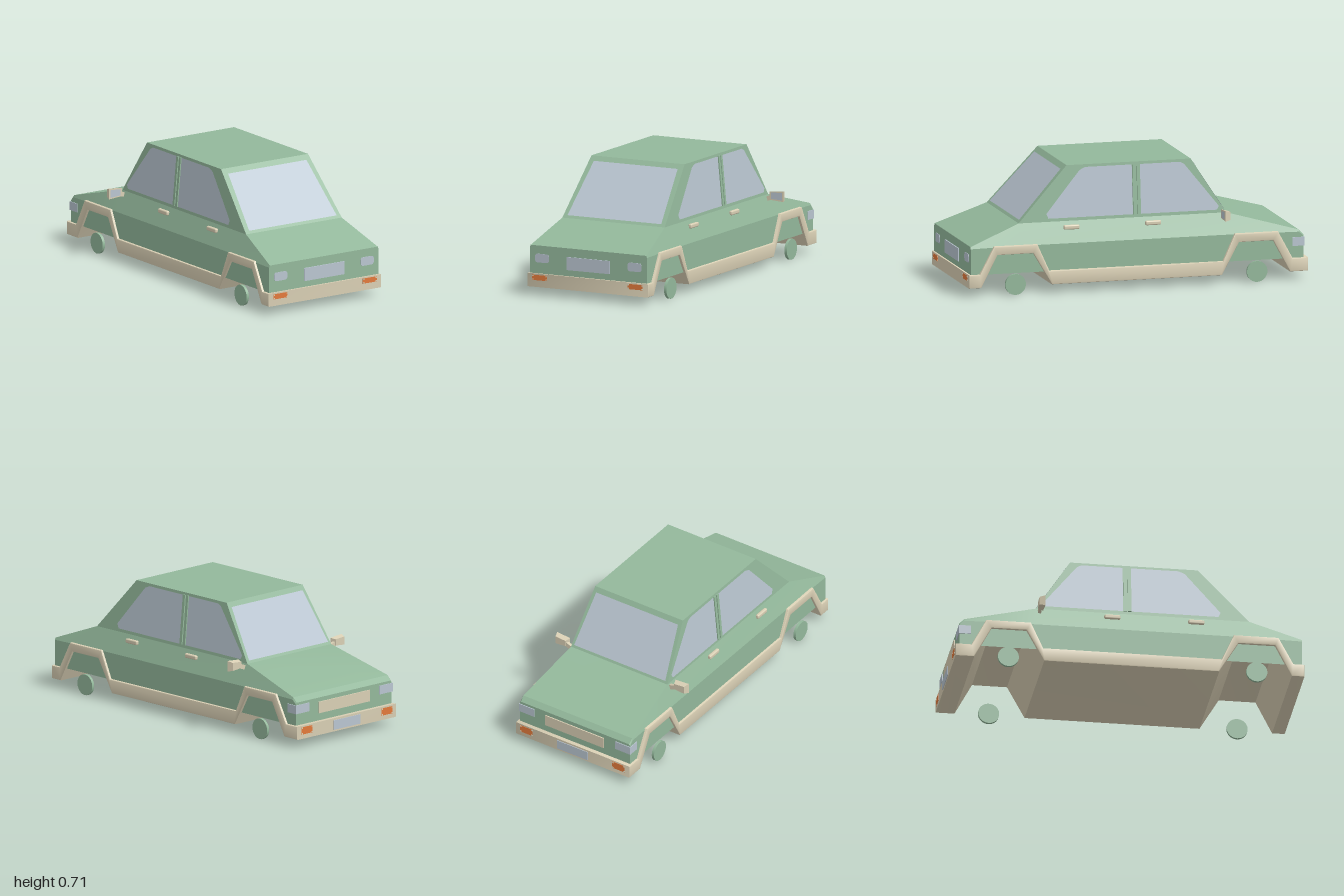
import * as THREE from 'three';
import { toCreasedNormals } from 'three/addons/utils/BufferGeometryUtils.js';
import { RoundedBoxGeometry } from 'three/addons/geometries/RoundedBoxGeometry.js';

const mat = (name, color, side = THREE.FrontSide) => {
  const m = new THREE.MeshStandardMaterial({ color, side });
  m.name = name;
  return m;
};

// Geometry from a flat list of points, three to a triangle.
function fromTriangles(points) {
  const g = new THREE.BufferGeometry();
  g.setAttribute('position', new THREE.Float32BufferAttribute(points.flat(), 3));
  g.computeVertexNormals();
  return g;
}

// Skin between cross-sections that run over the top from -x to +x, ordered by z.
function loft(sections, capped) {
  const t = [];
  for (let i = 0; i + 1 < sections.length; i++) {
    const s = sections[i], n = sections[i + 1];
    for (let k = 0; k + 1 < s.length; k++) t.push(s[k], n[k], n[k + 1], s[k], n[k + 1], s[k + 1]);
  }
  if (capped) {
    const a = sections[0], b = sections[sections.length - 1];
    for (let k = 1; k + 1 < a.length; k++) t.push(a[0], a[k], a[k + 1], b[0], b[k + 1], b[k]);
  }
  return toCreasedNormals(fromTriangles(t), 0.35);
}

// Flat convex pane.
function pane(p) {
  const t = [];
  for (let k = 1; k + 1 < p.length; k++) t.push(p[0], p[k], p[k + 1]);
  return fromTriangles(t);
}

export function createModel() {
  const car = new THREE.Group();
  car.name = 'car';
  const green = mat('green paint', 0x93b89b);
  const cream = mat('cream trim', 0xd9cfb4);
  const glass = mat('pale glass', 0xb9c5d0, THREE.DoubleSide);
  const orange = mat('orange lens', 0xe27a3c);

  const add = (name, geo, material, x = 0, y = 0, z = 0) => {
    const m = new THREE.Mesh(geo, material);
    m.name = name;
    m.position.set(x, y, z);
    car.add(m);
    return m;
  };
  const box = (w, h, d) => new THREE.BoxGeometry(w, h, d);

  // Lower body, open underneath: z, shoulder height, top height, top half width
  const hull = [
    [-0.972, 0.25, 0.26, 0.37],
    [-0.945, 0.275, 0.287, 0.372],
    [-0.53, 0.28, 0.4, 0.33],
    [0.69, 0.28, 0.4, 0.33],
    [0.985, 0.275, 0.287, 0.372],
  ].map(([z, s, t, w]) => [
    [-0.377, 0.125, z], [-0.377, s, z], [-w, t, z], [w, t, z], [0.377, s, z], [0.377, 0.125, z],
  ]);
  add('body', loft(hull, true), green);

  // Cabin
  const cabin = [[-0.53, 0.4, 0.33], [-0.33, 0.715, 0.3], [0.4, 0.715, 0.3], [0.69, 0.4, 0.33]]
    .map(([z, t, w]) => [[-0.33, 0.4, z], [-w, t, z], [w, t, z], [0.33, 0.4, z]]);
  add('cabin', loft(cabin, false), green);

  // Bumpers, sills and wheel arches as one folded strip across the car
  const strip = [
    [0.997, 0.05], [0.925, 0.05], [0.83, 0.235], [0.62, 0.235], [0.51, 0.05],
    [-0.49, 0.05], [-0.59, 0.235], [-0.79, 0.235], [-0.89, 0.05], [-0.997, 0.05],
    [-0.997, 0.127], [-0.905, 0.127], [-0.82, 0.285], [-0.565, 0.285], [-0.495, 0.13],
    [0.525, 0.13], [0.595, 0.285], [0.85, 0.285], [0.935, 0.127], [0.997, 0.127],
  ];
  const skirt = new THREE.ExtrudeGeometry(
    new THREE.Shape(strip.map(([z, y]) => new THREE.Vector2(z, y))),
    { depth: 0.768, bevelThickness: 0.007, bevelSize: 0.007, bevelOffset: -0.007, bevelSegments: 2 });
  skirt.translate(0, 0, -0.384).rotateY(-Math.PI / 2);
  add('lowerTrim', toCreasedNormals(skirt, 0.7), cream);

  // Windscreens, lying just above the sloping cabin faces
  const screen = (name, base, slope, lowWidth, topWidth) => {
    const p = (x, y) => [x, y, base + slope * (y - 0.4) / 0.315 + Math.sign(base) * 0.004];
    add(name, pane([p(-lowWidth, 0.415), p(lowWidth, 0.415), p(topWidth, 0.69), p(-topWidth, 0.69)]), glass);
  };
  screen('rearWindow', 0.69, -0.29, 0.302, 0.27);
  screen('windscreen', -0.53, 0.2, 0.312, 0.28);

  const rearSide = [[0.515, 0.418], [0.527, 0.445], [0.325, 0.685], [0.29, 0.7], [0.018, 0.7], [0.018, 0.418]];
  const frontSide = [[-0.03, 0.418], [-0.03, 0.7], [-0.265, 0.7], [-0.29, 0.687], [-0.487, 0.44], [-0.475, 0.418]];

  for (const s of [-1, 1]) {
    const side = s > 0 ? 'left' : 'right';

    // Side windows and the pillar between them
    const onSide = ([z, y]) => [s * (0.333 - 0.03 * (y - 0.4) / 0.315), y, z];
    add(side + 'RearSideWindow', pane(rearSide.map(onSide)), glass);
    add(side + 'FrontSideWindow', pane(frontSide.map(onSide)), glass);
    for (const z of [0.007, -0.019])
      add(side + 'Pillar', box(0.012, 0.285, 0.018), green, s * 0.317, 0.559, z).rotation.z = s * 0.095;

    // Door handles
    for (const z of [0.385, -0.095])
      add(side + 'DoorHandle', new RoundedBoxGeometry(0.022, 0.026, 0.092, 2, 0.008), cream, s * 0.35, 0.367, z);

    // Mirror: tapered shell, arm and glass
    const shell = box(0.09, 0.062, 0.032);
    const pos = shell.attributes.position;
    for (let i = 0; i < pos.count; i++) {
      const inner = pos.getX(i) * s < 0, ahead = pos.getZ(i) < 0;
      pos.setY(i, pos.getY(i) * (inner ? 0.78 : 1) * (ahead ? 0.75 : 1));
      if (ahead) pos.setX(i, pos.getX(i) * 0.75);
    }
    shell.computeVertexNormals();
    add(side + 'Mirror', shell, cream, s * 0.406, 0.4, -0.508);
    add(side + 'MirrorGlass', pane([[-0.036, -0.018 - (s < 0 ? 0.004 : 0), 0], [0.036, -0.018 - (s > 0 ? 0.004 : 0), 0],
      [0.036, 0.018 + (s > 0 ? 0.004 : 0), 0], [-0.036, 0.018 + (s < 0 ? 0.004 : 0), 0]]), glass, s * 0.406, 0.4, -0.49);
    add(side + 'MirrorArm', box(0.05, 0.026, 0.018), cream, s * 0.35, 0.383, -0.51).rotation.z = s * 0.35;

    // Thin disc wheels
    for (const z of [0.725, -0.695])
      add(side + 'Wheel', new THREE.CylinderGeometry(0.06, 0.06, 0.016, 32), green, s * 0.385, 0.062, z).rotation.z = Math.PI / 2;

    // Wrap-around lamps at the nose
    add(side + 'NoseLamp', box(0.105, 0.05, 0.07), glass, s * 0.329, 0.22, -0.942);

    // Rounded lamps on the tail
    const r = 0.016, lens = new THREE.Shape();
    lens.absarc(0.045 - r, 0.025 - r, r, 0, Math.PI / 2);
    lens.absarc(r - 0.045, 0.025 - r, r, Math.PI / 2, Math.PI);
    lens.absarc(r - 0.045, r - 0.025, r, Math.PI, Math.PI * 1.5);
    lens.absarc(0.045 - r, r - 0.025, r, Math.PI * 1.5, Math.PI * 2);
    add(side + 'TailLamp', new THREE.ExtrudeGeometry(lens, { depth: 0.005, bevelEnabled: false }), glass, s * 0.298, 0.215, 0.983);

    // Orange indicators with small cream corner screws
    for (const [x, y, w, h, z] of [[0.308, 0.104, 0.096, 0.03, 0.996], [0.315, 0.097, 0.085, 0.042, -0.996]]) {
      add(side + 'Indicator', box(w, h, 0.006), orange, s * x, y, z);
      for (const i of [-1, 1]) for (const j of [-1, 1])
        add(side + 'IndicatorScrew', box(0.007, 0.007, 0.003), cream,
          s * x + i * (w / 2 - 0.005), y + j * (h / 2 - 0.005), z + Math.sign(z) * 0.003);
    }
  }

  // Plates and grille panel
  add('tailPlate', box(0.276, 0.075, 0.008), glass, 0, 0.2, 0.988);
  add('nosePlate', box(0.21, 0.055, 0.006), glass, 0, 0.088, -0.998);
  add('grillePanel', box(0.4, 0.066, 0.008), cream, 0, 0.203, -0.975);

  return car;
}
